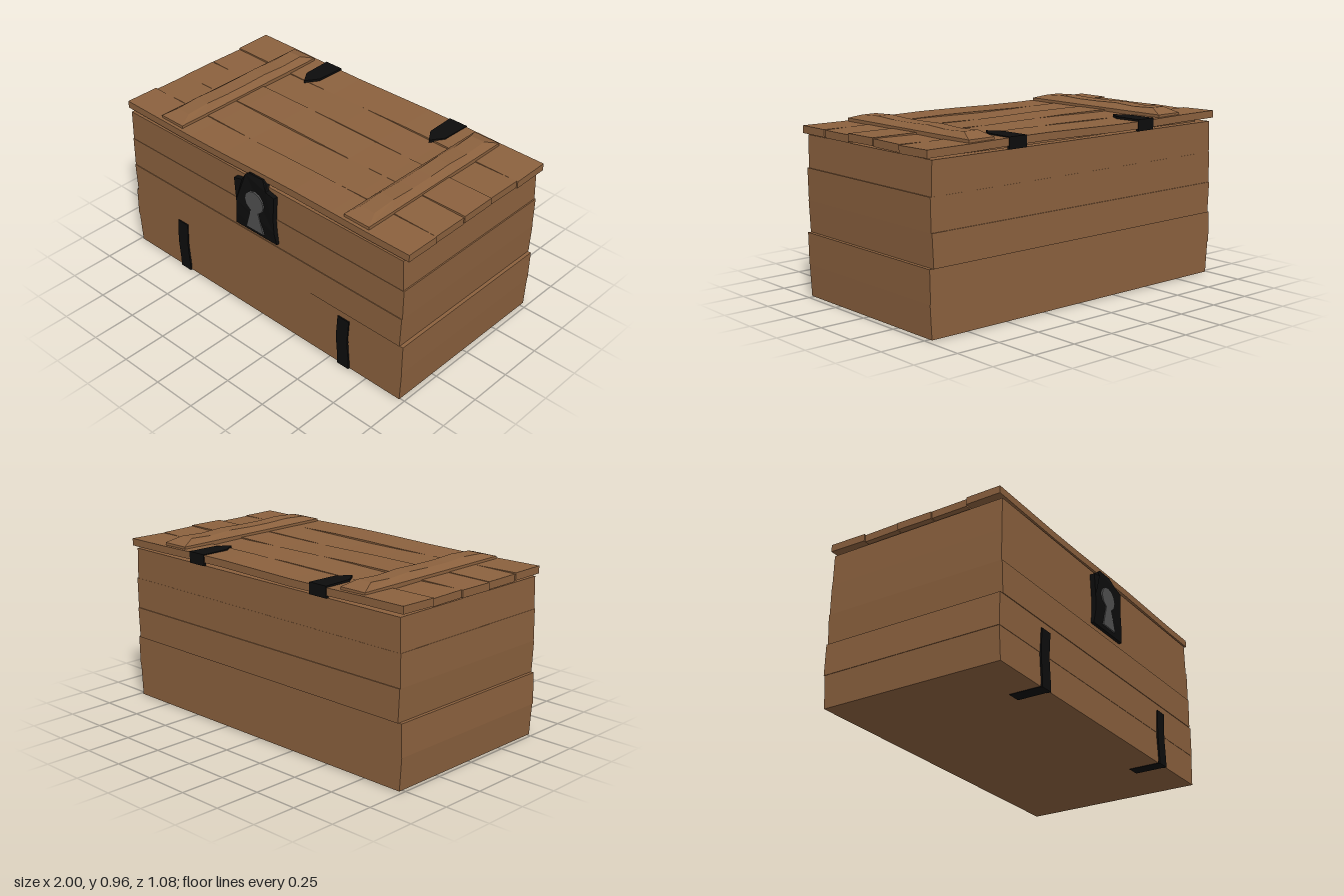
import * as THREE from 'three';

const mat = (color) => new THREE.MeshStandardMaterial({ color, flatShading: true });

export function createModel() {
  const chest = new THREE.Group();
  chest.name = 'chest';
  const wood = mat(0x8b613e), iron = mat(0x0d0d0d), steel = mat(0x505050);

  const add = (name, geo, material, parent = chest) => {
    const m = new THREE.Mesh(geo, material);
    m.name = name;
    parent.add(m);
    return m;
  };
  // Box between two corners, optionally reshaped by a rule on each vertex
  const block = ([x0, y0, z0], [x1, y1, z1], seg = [1, 1, 1], rule) => {
    const g = new THREE.BoxGeometry(x1 - x0, y1 - y0, z1 - z0, ...seg);
    g.translate((x0 + x1) / 2, (y0 + y1) / 2, (z0 + z1) / 2);
    if (rule) {
      const p = g.attributes.position, v = new THREE.Vector3();
      for (let i = 0; i < p.count; i++) {
        rule(v.fromBufferAttribute(p, i));
        p.setXYZ(i, v.x, v.y, v.z);
      }
    }
    g.computeVertexNormals();
    return g;
  };
  const outline = (pts) => new THREE.Shape(pts.map(([x, y]) => new THREE.Vector2(x, y)));
  const extrude = (shape, depth) => new THREE.ExtrudeGeometry(shape, { depth, bevelEnabled: false });

  // Body: five rows of planks on all four sides
  // bottom, top, left and right ends at bottom and top, back z, front z
  const rows = [
    [0.003, 0.178, -0.983, -0.995, 0.974, 0.983, -0.526, 0.510],
    [0.178, 0.350, -0.998, -0.994, 0.983, 0.986, -0.530, 0.512],
    [0.350, 0.522, -0.976, -0.984, 0.966, 0.974, -0.536, 0.516],
    [0.522, 0.693, -0.984, -0.982, 0.975, 0.978, -0.531, 0.512],
    [0.693, 0.866, -0.980, -0.976, 0.971, 0.965, -0.530, 0.510],
  ];
  const body = new THREE.Group();
  body.name = 'body';
  chest.add(body);
  const T = 0.05;
  for (const [y0, y1, l0, l1, r0, r1, back, front] of rows) {
    const slant = (v) => {
      const t = (v.y - y0) / (y1 - y0);
      v.x += v.x < 0 ? (l1 - l0) * t : (r1 - r0) * t;
    };
    add('frontPlank', block([l0, y0, front - T], [r0, y1, front], undefined, slant), wood, body);
    add('backPlank', block([l0, y0, back], [r0, y1, back + T], undefined, slant), wood, body);
    add('leftEndPlank', block([r0 - T, y0, back + T], [r0, y1, front - T], undefined, slant), wood, body);
    add('rightEndPlank', block([l0, y0, back + T], [l0 + T, y1, front - T], undefined, slant), wood, body);
  }
  add('floor', block([-0.94, 0.003, -0.48], [0.93, 0.05, 0.465]), wood, body);

  // Lid: five long, slightly warped planks
  const lid = new THREE.Group();
  lid.name = 'lid';
  chest.add(lid);
  const cuts = [-0.537, -0.32, -0.11, 0.1, 0.31, 0.51];
  for (let i = 0; i < 5; i++) {
    const z0 = cuts[i] + (i ? 0.003 : 0), z1 = cuts[i + 1];
    const end = 0.998 - 0.005 * (i % 2);
    const warp = (v) => {
      v.y += 0.004 * Math.sin(v.x * 5 + i * 1.7) + 0.003 * Math.sin(v.z * 9 + i);
    };
    add('lidPlank', block([-end, 0.878, z0], [end, 0.918, z1], [8, 1, 1], warp), wood, lid);
  }

  // Bevelled battens across the lid, and thin ones below it
  for (const x of [-0.66, 0.653]) {
    const bevel = (v) => {
      if (v.y > 0.95) {
        v.x = x + (v.x - x) * 0.54;
        v.z = -0.012 + (v.z + 0.012) * 0.84;
        v.y += 0.004 * Math.cos((v.z - 0.25) * 17);
      } else if (v.y > 0.92) v.y = 0.934;
    };
    add('lidBatten', block([x - 0.08, 0.905, -0.515], [x + 0.08, 0.96, 0.491], [1, 2, 6], bevel), wood, lid);
    add('innerBatten', block([x - 0.08, 0.864, -0.47], [x + 0.08, 0.882, 0.45]), wood, lid);
  }

  // Hinges: pointed strap on top, folded down over the back edge
  for (const x of [-0.453, 0.445]) {
    const hinge = new THREE.Group();
    hinge.name = 'hinge';
    const strap = extrude(outline([[-0.057, 0.54], [-0.05, 0.37], [0, 0.297], [0.05, 0.37], [0.057, 0.54]].reverse()), 0.02);
    strap.rotateX(-Math.PI / 2);
    add('hingeStrap', strap, iron, hinge).position.y = 0.908;
    add('hingeFold', block([-0.057, 0.866, -0.541], [0.057, 0.928, -0.525]), iron, hinge);
    hinge.position.x = x;
    chest.add(hinge);
  }

  // Corner straps: up the front and under the floor
  for (const x of [-0.605, 0.595]) {
    const bend = (v) => { v.x += 0.005 * Math.sin(v.y * 20 + 1.2); };
    add('frontStrap', block([x - 0.038, 0, 0.495], [x + 0.038, 0.312, 0.519], [1, 6, 1], bend), iron);
    add('underStrap', block([x - 0.038, 0, 0.335], [x + 0.038, 0.015, 0.51]), iron);
  }

  // Lock plate, its rim leaning back at the top and bottom
  const half = [[0.148, 0.548], [0.138, 0.62], [0.134, 0.7], [0.143, 0.835], [0.085, 0.848], [0.075, 0.878], [0.05, 0.898]];
  const plate = extrude(outline([...half, ...half.map(([x, y]) => [-x, y]).reverse()]), 0.035);
  const p = plate.attributes.position;
  for (let i = 0; i < p.count; i++) {
    const y = p.getY(i), front = p.getZ(i) > 0.01;
    if (front) p.setZ(i, y > 0.87 ? 0.02 : y < 0.56 ? 0.029 : 0.037);
  }
  plate.computeVertexNormals();
  add('lockPlate', plate, iron).position.z = 0.5;

  // Keyhole: round head with a flared slot below
  const key = [[-0.062, 0.572], [0.062, 0.572], [0.026, 0.69]];
  for (let i = 0; i <= 10; i++) {
    const a = -1.1 + (i / 10) * (Math.PI + 2.2);
    key.push([0.067 * Math.cos(a), 0.746 + 0.063 * Math.sin(a)]);
  }
  key.push([-0.026, 0.69]);
  add('keyhole', extrude(outline(key), 0.01), steel).position.z = 0.53;

  return chest;
}
